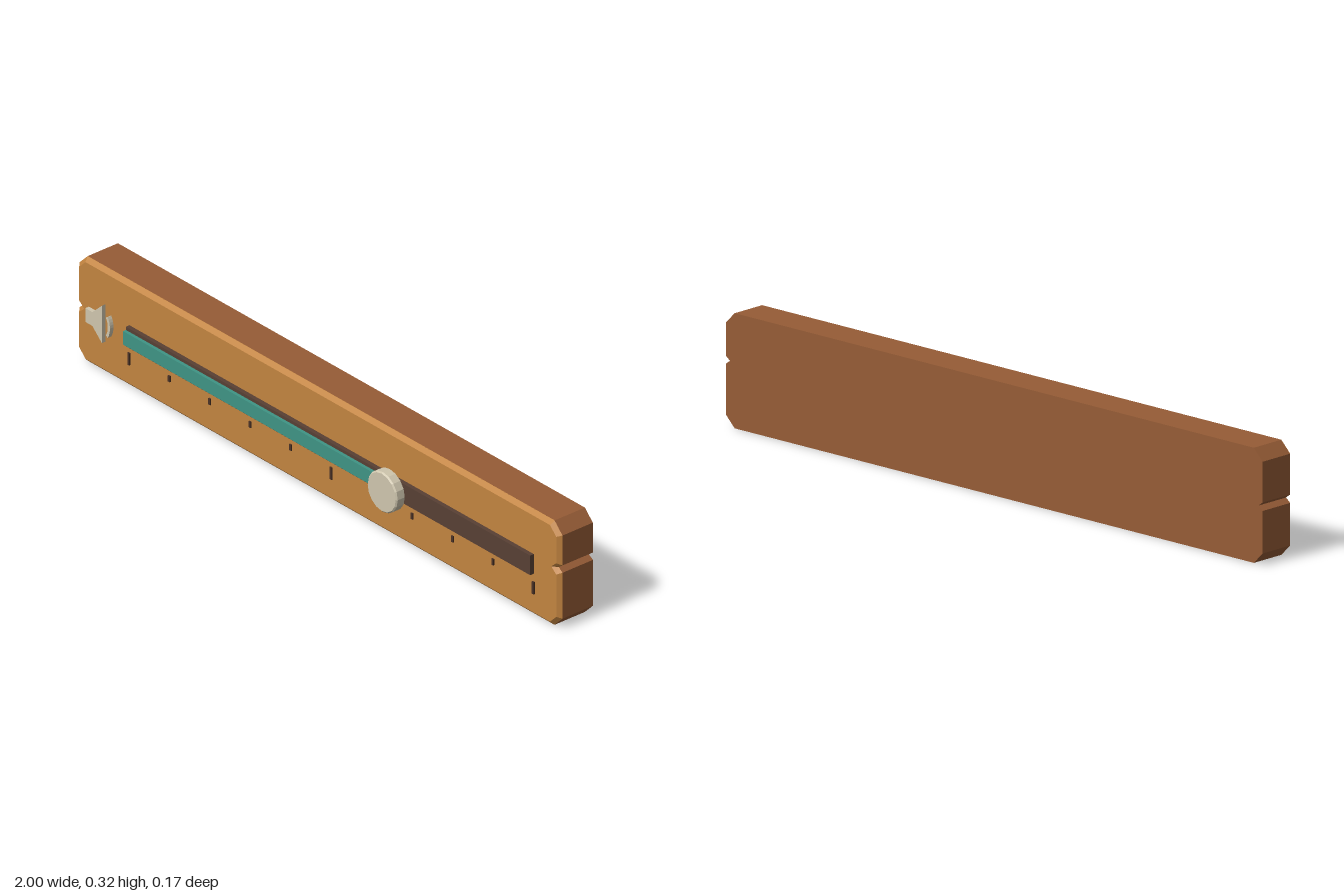
import * as THREE from 'three';

const mat = (name, color) => new THREE.MeshStandardMaterial({ name, color, flatShading: true });

export function createModel() {
  const group = new THREE.Group();
  const lightWood = mat('lightWood', 0xc28440);
  const darkWood = mat('darkWood', 0x965c36);
  const trackBrown = mat('trackBrown', 0x584034);
  const tickBrown = mat('tickBrown', 0x4a3226);
  const teal = mat('teal', 0x3f9485);
  const cream = mat('cream', 0xcfc6ae);

  const add = (name, geometry, material, x = 0, y = 0, z = 0) => {
    const mesh = new THREE.Mesh(geometry, material);
    mesh.name = name;
    mesh.position.set(x, y, z);
    group.add(mesh);
    return mesh;
  };
  // Box given by its limits on each axis
  const addBox = (name, material, [x0, x1], [y0, y1], [z0, z1]) =>
    add(name, new THREE.BoxGeometry(x1 - x0, y1 - y0, z1 - z0), material,
      (x0 + x1) / 2, (y0 + y1) / 2, (z0 + z1) / 2);
  const shapeOf = (points) => new THREE.Shape(points.map(([x, y]) => new THREE.Vector2(x, y)));

  // Plank outline: clipped corners and a small V notch at each end
  const H = 0.325, C = 0.033;
  const outline = shapeOf([
    [-1 + C, 0], [1 - C, 0], [1, C],
    [1, 0.176], [0.984, 0.187], [1, 0.199],
    [1, H - C], [1 - C, H], [-1 + C, H], [-1, H - C],
    [-1, 0.177], [-0.984, 0.165], [-1, 0.153], [-1, C],
  ]);
  add('plankBody', new THREE.ExtrudeGeometry(outline, { depth: 0.109, bevelEnabled: false }),
    darkWood, 0, 0, -0.086);
  // Bevelled face; its rear bevel sits inside the body
  add('plankFace', new THREE.ExtrudeGeometry(outline, {
    depth: 0.001, bevelThickness: 0.012, bevelSize: 0.012, bevelOffset: -0.012, bevelSegments: 1,
  }), lightWood, 0, 0, 0.022);

  // Slider track, filled part and knob
  const start = -0.78, end = 0.895, knobX = 0.325, midY = 0.163;
  addBox('track', trackBrown, [start, end], [0.133, 0.194], [0.034, 0.048]);
  addBox('trackFill', teal, [start, knobX], [0.142, 0.184], [0.047, 0.058]);
  const knobProfile = [[0, 0], [0.062, 0], [0.062, 0.025], [0.058, 0.029], [0, 0.029]]
    .map(([r, h]) => new THREE.Vector2(r, h));
  add('knob', new THREE.LatheGeometry(knobProfile, 16), cream, knobX, midY, 0.058)
    .rotation.x = Math.PI / 2;

  // Scale marks, every fifth one longer
  for (let i = 0; i <= 10; i++) {
    const x = start + (end - start) * i / 10;
    addBox('tick' + i, tickBrown, [x - 0.004, x + 0.004],
      [i % 5 ? 0.09 : 0.071, 0.109], [0.034, 0.039]);
  }

  // Speaker symbol: box with a flared horn
  const iconOptions = { depth: 0.013, bevelEnabled: false };
  const horn = shapeOf([
    [-0.943, 0.141], [-0.914, 0.141], [-0.874, 0.104],
    [-0.874, 0.221], [-0.914, 0.184], [-0.943, 0.184],
  ]);
  add('speakerSymbol', new THREE.ExtrudeGeometry(horn, iconOptions), cream, 0, 0, 0.039);

  // Sound wave: a short curved bar
  const wave = new THREE.Shape();
  wave.absarc(0, 0, 0.062, -0.55, 0.55, false);
  wave.absarc(0, 0, 0.053, 0.55, -0.55, true);
  add('soundWave', new THREE.ExtrudeGeometry(wave, { ...iconOptions, curveSegments: 4 }),
    cream, -0.903, midY, 0.039);

  return group;
}
